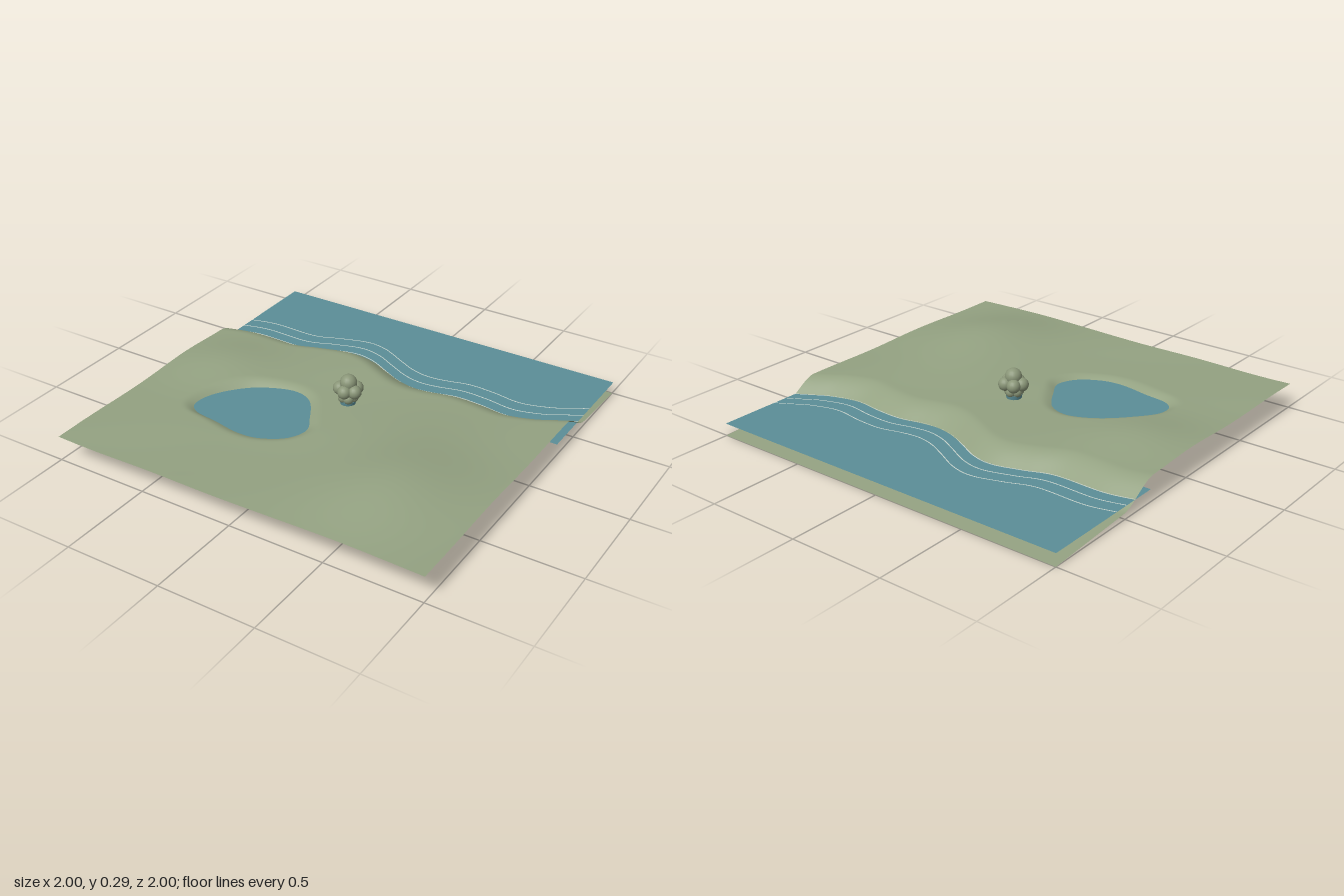
import * as THREE from 'three';

const SEA = 0.066, POND = 0.114;

const mat = (name, color, side = THREE.FrontSide) => {
  const m = new THREE.MeshStandardMaterial({ color, side });
  m.name = name;
  return m;
};
const smooth = (a, b, v) => THREE.MathUtils.smoothstep(v, a, b);
const bump = (x, z, cx, cz, sx, sz) => Math.exp(-(((x - cx) / sx) ** 2) - ((z - cz) / sz) ** 2);

// Shoreline as z over x
const shorePts = [[-1, -0.42], [-0.85, -0.452], [-0.6, -0.45], [-0.45, -0.5], [-0.3, -0.542], [-0.18, -0.525],
  [-0.05, -0.46], [0.05, -0.412], [0.15, -0.39], [0.25, -0.4], [0.38, -0.43], [0.52, -0.425], [0.68, -0.405],
  [0.83, -0.445], [0.92, -0.495], [1, -0.54]];
const shoreSamples = new THREE.SplineCurve(shorePts.map(p => new THREE.Vector2(...p))).getPoints(240);
function shoreZ(x) {
  let i = 1;
  while (i < shoreSamples.length - 1 && shoreSamples[i].x < x) i++;
  const a = shoreSamples[i - 1], b = shoreSamples[i];
  return a.y + (b.y - a.y) * THREE.MathUtils.clamp((x - a.x) / (b.x - a.x), 0, 1);
}

// Pond outline as radius over angle around its centre
const PC = new THREE.Vector2(-0.35, 0.27);
const pondPts = [[-0.655, 0.39], [-0.64, 0.27], [-0.53, 0.12], [-0.4, 0.05], [-0.29, 0.03], [-0.2, 0.065],
  [-0.1, 0.2], [-0.05, 0.3], [-0.09, 0.4], [-0.21, 0.475], [-0.315, 0.49], [-0.475, 0.465], [-0.61, 0.44]];
const pondSamples = new THREE.CatmullRomCurve3(pondPts.map(([x, z]) => new THREE.Vector3(x - PC.x, 0, z - PC.y)), true)
  .getPoints(180).map(p => ({ a: Math.atan2(p.z, p.x), r: Math.hypot(p.x, p.z) })).sort((p, q) => p.a - q.a);
function pondRadius(a) {
  const n = pondSamples.length;
  let i = 0;
  while (i < n && pondSamples[i].a < a) i++;
  const p = pondSamples[(i + n - 1) % n], q = pondSamples[i % n];
  const span = (q.a - p.a + Math.PI * 2) % (Math.PI * 2);
  const t = span > 1e-6 ? ((a - p.a + Math.PI * 2) % (Math.PI * 2)) / span : 0;
  return p.r + (q.r - p.r) * Math.min(t, 1);
}

// Height of the land, beach, seabed and pond basin
function groundHeight(x, z) {
  let land = 0.133 + 0.07 * bump(x, z, 0.57, 0.5, 0.3, 0.42) + 0.03 * bump(x, z, -0.75, 0.0, 0.25, 0.25)
    + 0.004 * Math.sin(x * 7 + z * 4) * Math.sin(z * 5 - x * 2 + 1);
  const dx = x - PC.x, dz = z - PC.y;
  const d = Math.hypot(dx, dz) - pondRadius(Math.atan2(dz, dx));
  land = THREE.MathUtils.lerp(0.078, land, smooth(-0.08, 0.06, d));
  const seabed = 0.002 + (z + 1) * 0.062;
  return THREE.MathUtils.lerp(seabed, land, smooth(-0.09, 0.14, z - shoreZ(x)));
}

function terrainGeometry() {
  const g = new THREE.PlaneGeometry(2, 2, 160, 160).rotateX(-Math.PI / 2);
  const p = g.attributes.position;
  for (let i = 0; i < p.count; i++) p.setY(i, groundHeight(p.getX(i), p.getZ(i)));
  g.computeVertexNormals();
  return g;
}

// Flat ribbon running parallel to the shore
function foamGeometry(offset, width) {
  const g = new THREE.PlaneGeometry(2, width, 160, 1).rotateX(-Math.PI / 2);
  const p = g.attributes.position;
  for (let i = 0; i < p.count; i++) p.setZ(i, p.getZ(i) + shoreZ(p.getX(i)) - offset);
  return g;
}

function pondGeometry() {
  const pts = pondSamples.filter((_, i) => i % 3 === 0).map(({ a, r }) =>
    new THREE.Vector2(Math.cos(a) * (r + 0.04), -Math.sin(a) * (r + 0.04)));
  return new THREE.ShapeGeometry(new THREE.Shape(pts)).rotateX(-Math.PI / 2);
}

export function createModel() {
  const model = new THREE.Group();
  const grass = mat('grass', 0x93a181, THREE.DoubleSide);
  const water = mat('water', 0x5b8e97, THREE.DoubleSide);
  const foam = mat('foam', 0xc9d3cc, THREE.DoubleSide);
  const leaf = mat('foliage', 0x8a9678);
  const stone = mat('pale stone', 0xb4c0be);

  const add = (parent, name, geo, material, x = 0, y = 0, z = 0) => {
    const m = new THREE.Mesh(geo, material);
    m.name = name;
    m.position.set(x, y, z);
    parent.add(m);
    return m;
  };

  add(model, 'terrain', terrainGeometry(), grass);
  add(model, 'sea', new THREE.PlaneGeometry(2, 0.7).rotateX(-Math.PI / 2), water, 0, SEA, -0.65);
  add(model, 'pond', pondGeometry(), water, PC.x, POND, PC.y);
  [0.004, 0.072, 0.148].forEach((o, i) =>
    add(model, 'foamLine' + (i + 1), foamGeometry(o, 0.006), foam, 0, SEA + 0.002, 0));

  // Bush: crown, two rings of lobes, and a base sunk in the ground
  const bush = new THREE.Group();
  bush.name = 'bush';
  model.add(bush);
  const ball = r => new THREE.SphereGeometry(r, 18, 12);
  add(bush, 'crown', ball(0.043), leaf, 0, 0.247, -0.005);
  add(bush, 'core', ball(0.045), leaf, 0, 0.195, 0);
  for (let i = 0; i < 5; i++) {
    const a = Math.PI / 2 + (i * Math.PI * 2) / 5;
    const c = Math.cos(a), s = Math.sin(a);
    add(bush, 'upperLobe', ball(0.035), leaf, c * 0.045, 0.21, s * 0.04 - 0.005);
    add(bush, 'lowerLobe', ball(0.028), leaf, -c * 0.025, 0.17, -s * 0.025);
  }
  add(bush, 'base', new THREE.CylinderGeometry(0.042, 0.034, 0.045, 20), water, 0, 0.13, 0);
  add(bush, 'buriedStone', ball(0.035), stone, 0, 0.083, 0).scale.y = 0.72;
  return model;
}
